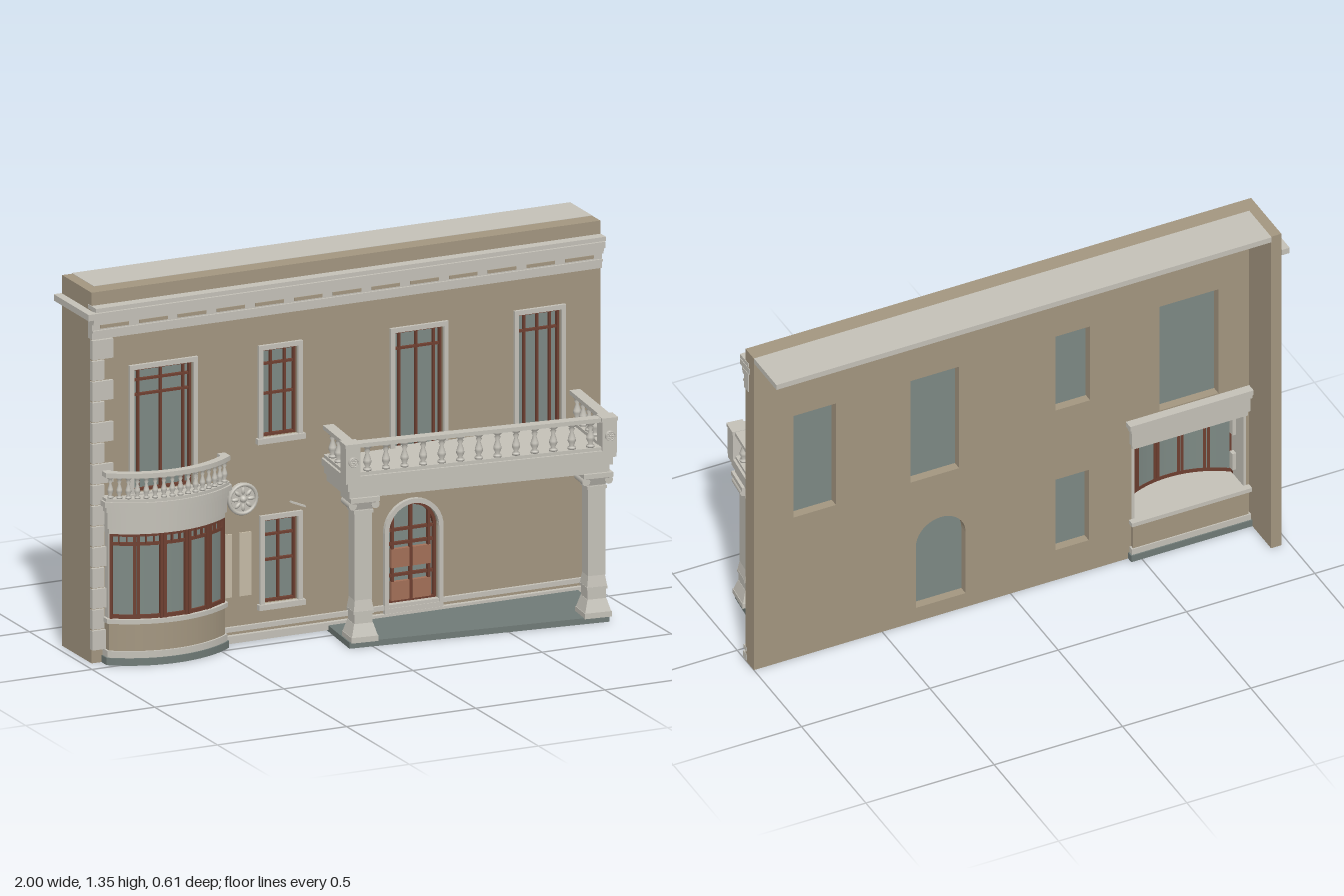
import * as THREE from 'three';

const mat = (name, color, side = THREE.FrontSide) => {
  const m = new THREE.MeshStandardMaterial({ color, side });
  m.name = name;
  return m;
};

export function createModel() {
  const wallM = mat('tan stucco', 0xa39680), trim = mat('grey stone trim', 0xc4c1b8);
  const glass = mat('window glass', 0x7d8984, THREE.DoubleSide), slate = mat('slate floor', 0x707b77);
  const brown = mat('brown joinery', 0x6e3f30), panelM = mat('door panel', 0xa37058);
  const pale = mat('pale stone', 0xc6bba6);
  const root = new THREE.Group();
  root.name = 'houseFacade';
  const group = (name, parent = root) => {
    const g = new THREE.Group();
    g.name = name;
    parent.add(g);
    return g;
  };
  const add = (name, geo, m, parent = root) => {
    const mesh = new THREE.Mesh(geo, m);
    mesh.name = name;
    parent.add(mesh);
    return mesh;
  };
  // Box given by its limits on each axis
  const box = (name, x0, x1, y0, y1, z0, z1, m, parent) => {
    const b = add(name, new THREE.BoxGeometry(x1 - x0, y1 - y0, z1 - z0), m, parent);
    b.position.set((x0 + x1) / 2, (y0 + y1) / 2, (z0 + z1) / 2);
    return b;
  };
  const poly = (pts, C = THREE.Shape) => new C(pts.map(p => new THREE.Vector2(p[0], p[1])));
  const rect = (x0, x1, y0, y1, C) => poly([[x0, y0], [x1, y0], [x1, y1], [x0, y1]], C);
  const upright = (name, shape, z0, z1, m, parent) => {
    const e = add(name, new THREE.ExtrudeGeometry(shape, { depth: z1 - z0, bevelEnabled: false, curveSegments: 16 }), m, parent);
    e.position.z = z0;
    return e;
  };
  // Plan outline of [x, z] points raised from y0 to y1
  const plan = (name, pts, y0, y1, m, parent) => {
    const g = new THREE.ExtrudeGeometry(poly(pts.map(([x, z]) => [x, -z])), { depth: y1 - y0, bevelEnabled: false });
    const e = add(name, g.rotateX(-Math.PI / 2), m, parent);
    e.position.y = y0;
    return e;
  };
  const arch = (cx, r, y0, ys, C) => {
    const pts = [[cx - r, y0], [cx + r, y0]];
    for (let i = 0; i <= 20; i++) pts.push([cx + r * Math.cos(i * Math.PI / 20), ys + r * Math.sin(i * Math.PI / 20)]);
    return poly(pts, C);
  };
  const F = -0.065, B = -0.13;

  // Main wall with through openings, end return and flat roof
  const windows = [
    { n: 'bayBalconyWindow', x0: -0.81, x1: -0.58, y0: 0.6, y1: 1.05, v: [0.12, 0.5, 0.88], h: [0.78, 0.9] },
    { n: 'upperSmallWindow', x0: -0.31, x1: -0.175, y0: 0.735, y1: 1.055, v: [0.3, 0.7], h: [0.48, 0.82] },
    { n: 'upperMiddleWindow', x0: 0.2, x1: 0.39, y0: 0.61, y1: 1.05, v: [0.15, 0.5, 0.85], h: [0.85] },
    { n: 'upperEndWindow', x0: 0.68, x1: 0.845, y0: 0.61, y1: 1.05, v: [0.2, 0.5, 0.8], h: [0.85] },
    { n: 'lowerWindow', x0: -0.305, x1: -0.175, y0: 0.13, y1: 0.435, v: [0.5], h: [0.5, 0.8] },
  ];
  const wall = rect(-0.97, 1, 0, 1.35);
  for (const w of windows) wall.holes.push(rect(w.x0, w.x1, w.y0, w.y1, THREE.Path));
  wall.holes.push(arch(0.272, 0.097, 0.06, 0.325, THREE.Path), rect(-0.918, -0.472, 0.05, 0.57, THREE.Path));
  upright('mainWall', wall, B, F, wallM);
  box('returnWall', -0.97, -0.93, 0, 1.35, -0.3, B, wallM);
  box('roofSlab', -0.93, 1, 1.33, 1.351, -0.305, B, trim);

  // Windows: stone surround, glass and glazing bars
  for (const { n, x0, x1, y0, y1, v, h } of windows) {
    const g = group(n), t = 0.017;
    const s = rect(x0 - t, x1 + t, y0 - t, y1 + t);
    s.holes.push(rect(x0, x1, y0, y1, THREE.Path));
    upright('surround', s, F, -0.053, trim, g);
    box('sill', x0 - 0.025, x1 + 0.025, y0 - 0.02, y0, F, -0.045, trim, g);
    box('glass', x0, x1, y0, y1, -0.096, -0.09, glass, g);
    const f = rect(x0, x1, y0, y1);
    f.holes.push(rect(x0 + 0.009, x1 - 0.009, y0 + 0.009, y1 - 0.009, THREE.Path));
    upright('sash', f, -0.09, -0.075, brown, g);
    for (const k of v) {
      const x = x0 + (x1 - x0) * k;
      box('upBar', x - 0.004, x + 0.004, y0, y1, -0.09, -0.078, brown, g);
    }
    for (const k of h) {
      const y = y0 + (y1 - y0) * k;
      box('crossBar', x0, x1, y - 0.004, y + 0.004, -0.09, -0.077, brown, g);
    }
  }

  // Arched double door
  const door = group('frontDoor');
  const ring = arch(0.272, 0.114, 0.03, 0.325);
  ring.holes.push(arch(0.272, 0.097, 0.05, 0.325, THREE.Path));
  upright('archSurround', ring, F, -0.05, trim, door);
  upright('archGlass', arch(0.272, 0.097, 0.06, 0.325), -0.096, -0.09, glass, door);
  const inner = arch(0.272, 0.097, 0.06, 0.325);
  inner.holes.push(arch(0.272, 0.086, 0.07, 0.325, THREE.Path));
  upright('archFrame', inner, -0.09, -0.075, brown, door);
  for (const x of [0.202, 0.272, 0.342]) box('doorStile', x - 0.005, x + 0.005, 0.06, x === 0.272 ? 0.42 : 0.385, -0.09, -0.076, brown, door);
  for (const y of [0.065, 0.16, 0.275, 0.325]) box('doorRail', 0.18, 0.364, y - 0.005, y + 0.005, -0.09, -0.077, brown, door);
  for (const x of [0.231, 0.313]) for (const y of [0.103, 0.222]) {
    box('doorPanel', x - 0.035, x + 0.035, y - 0.034, y + 0.034, -0.09, -0.074, panelM, door);
  }

  // Cornice bands and frieze slots
  const cornice = group('cornice');
  for (const [y0, y1, z] of [[1.287, 1.302, -0.025], [1.245, 1.257, -0.04], [1.235, 1.245, -0.045],
    [1.205, 1.213, -0.05], [1.18, 1.205, -0.056], [1.213, 1.235, -0.058]]) {
    box('corniceBand', -0.972, 1.002, y0, y1, -0.09, z, trim, cornice);
  }
  box('corniceShelf', -1, 1.002, 1.26, 1.283, -0.1, -0.027, trim, cornice);
  box('corniceReturn', -1, -0.97, 1.26, 1.283, -0.305, -0.1, trim, cornice);
  box('corniceBacking', -0.97, 1, 1.257, 1.29, F, -0.05, trim, cornice);
  for (let i = 0; i < 13; i++) {
    const x = -0.885 + i * 0.15;
    box('friezeSlot', x - 0.055, Math.min(x + 0.055, 1), 1.218, 1.23, F, -0.055, wallM, cornice);
  }

  // Corner quoins and foot mouldings
  const quoins = group('quoins');
  for (let i = 0; i < 15; i++) {
    box('quoin', -0.972, i % 2 ? -0.925 : -0.892, 0.05 + i * 0.0755, 0.12 + i * 0.0755, F - 0.01, -0.053, trim, quoins);
  }
  box('upperSkirt', -0.46, 1.001, 0.045, 0.062, F - 0.01, -0.053, trim).scale.x = 1;
  box('lowerSkirt', -0.46, 1.001, 0.005, 0.032, F - 0.01, -0.048, trim);

  // Rosette medallion and small wall plates
  const rosette = (name, x, y, z, r, parent) => {
    const g = group(name, parent);
    g.position.set(x, y, z);
    add('disc', new THREE.CylinderGeometry(r, r, 0.012, 24).rotateX(Math.PI / 2), trim, g);
    add('rim', new THREE.TorusGeometry(r * 0.9, r * 0.12, 6, 24), trim, g).position.z = 0.006;
    add('hub', new THREE.SphereGeometry(r * 0.22, 10, 8), trim, g).position.z = 0.006;
    for (let i = 0; i < 8; i++) {
      const a = i * Math.PI / 4, p = add('petal', new THREE.SphereGeometry(r * 0.25, 8, 6), trim, g);
      p.scale.set(1, 0.5, 0.5);
      p.rotation.z = a;
      p.position.set(Math.cos(a) * r * 0.52, Math.sin(a) * r * 0.52, 0.006);
    }
    return g;
  };
  rosette('medallion', -0.39, 0.525, -0.057, 0.058, root);
  for (const [a, b] of [[-0.455, -0.43], [-0.4, -0.355]]) box('wallPlate', a, b, 0.17, 0.4, F, -0.058, pale);
  const scrap = box('lintelFragment', -0.205, -0.145, 0.474, 0.48, F, -0.05, trim);
  scrap.rotation.z = -0.4;

  // Turned baluster, unit height
  const balGeo = new THREE.LatheGeometry([[0.0, 0], [0.17, 0], [0.17, 0.08], [0.08, 0.13], [0.17, 0.32], [0.16, 0.42],
    [0.07, 0.68], [0.13, 0.8], [0.08, 0.86], [0.17, 0.92], [0.17, 1]].map(p => new THREE.Vector2(p[0], p[1])), 10);
  const baluster = (x, y, z, h, w, parent) => {
    const b = add('baluster', balGeo, trim, parent);
    b.position.set(x, y, z);
    b.scale.set(w, h, w);
  };

  // Bow-fronted bay: plan is an arc with straight sides running back through the wall
  const bay = group('bayWindow'), CX = -0.695, CZ = -0.33, R = 0.375, H = 0.225;
  const bayPath = (o, back) => {
    const r = R + o, a = Math.asin((H + o) / r), pts = [[CX - H - o, back]];
    for (let i = 0; i <= 32; i++) {
      const t = -a + 2 * a * i / 32;
      pts.push([CX + r * Math.sin(t), CZ + r * Math.cos(t)]);
    }
    pts.push([CX + H + o, back]);
    return pts;
  };
  for (const [n, o, back, y0, y1, m] of [['bayPlinth', 0.012, -0.155, 0, 0.026, slate], ['bayFoot', 0.007, -0.15, 0.026, 0.05, trim],
    ['bayApron', 0, -0.145, 0.05, 0.15, wallM], ['baySill', 0.009, -0.155, 0.15, 0.166, trim],
    ['bayHead', 0, -0.142, 0.475, 0.495, trim], ['bayFrieze', 0.006, -0.148, 0.495, 0.555, trim],
    ['bayCornice', 0.012, -0.155, 0.555, 0.575, trim], ['balconyFloor', 0.021, -0.165, 0.575, 0.595, trim]]) {
    plan(n, bayPath(o, back), y0, y1, m, bay);
  }
  for (const [n, y0, y1, o] of [['bottomRail', 0.595, 0.606, 0.014], ['topRail', 0.683, 0.7, 0.016]]) {
    plan(n, [...bayPath(o, -0.067), ...bayPath(o - 0.03, -0.067).reverse()], y0, y1, trim, bay);
  }
  for (let i = 0; i <= 15; i++) {
    const t = -0.63 + 1.26 * i / 15;
    baluster(CX + R * Math.sin(t), 0.606, CZ + R * Math.cos(t), 0.077, 0.062, bay);
  }
  const ba = Math.asin(H / R), rg = R - 0.012;
  add('bayGlass', new THREE.CylinderGeometry(rg, rg, 0.31, 32, 1, true, -ba, 2 * ba), glass, bay).position.set(CX, 0.32, CZ);
  for (const s of [-1, 1]) box('bayCheek', CX + s * 0.218 - 0.006, CX + s * 0.218 + 0.006, 0.166, 0.475, -0.13, -0.035, trim, bay);
  for (const [y0, y1] of [[0.166, 0.18], [0.432, 0.443], [0.465, 0.476]]) {
    plan('bayCrossBar', [...bayPath(-0.004, -0.05), ...bayPath(-0.014, -0.05).reverse()], y0, y1, brown, bay);
  }
  const upBar = (t, w, y0, y1) => {
    const b = add('bayUpBar', new THREE.BoxGeometry(w, y1 - y0, 0.014), brown, bay);
    b.position.set(CX + (R - 0.007) * Math.sin(t), (y0 + y1) / 2, CZ + (R - 0.007) * Math.cos(t));
    b.rotation.y = t;
  };
  for (let i = 0; i < 5; i++) {
    const w = 2 * ba / 5, t0 = -ba + i * w;
    for (const k of [0.07, 0.93]) upBar(t0 + w * k, 0.011, 0.166, 0.475);
    for (const k of [0.35, 0.65]) upBar(t0 + w * k, 0.005, 0.44, 0.475);
  }

  // Porch, turned a little from the wall; local x runs along its front, local z is 0 at the front edge
  const TH = 0.109, porch = group('porch');
  porch.position.set(-0.11, 0, 0.19);
  porch.rotation.y = -TH;
  const L = 1.005, back = x => -(0.27 + 0.11 * x);
  const deck = (n, i, y0, y1, m, x0 = i, x1 = L - i) =>
    plan(n, [[x0, back(x0)], [x0, -i], [x1, -i], [x1, back(x1)]], y0, y1, m, porch);
  deck('porchFloor', 0.022, 0, 0.022, slate);
  deck('architrave', 0.022, 0.545, 0.575, trim);
  deck('entablature', 0.012, 0.575, 0.605, trim);
  deck('balconyDeck', 0.002, 0.605, 0.63, trim);

  // Two square columns with stepped bases and scrolled capitals
  const prism = (n, w0, w1, y0, y1, g) => {
    const c = add(n, new THREE.CylinderGeometry(w1 * Math.SQRT1_2, w0 * Math.SQRT1_2, y1 - y0, 4, 1).rotateY(Math.PI / 4).toNonIndexed(), trim, g);
    c.geometry.computeVertexNormals();
    c.position.y = (y0 + y1) / 2;
  };
  for (const x of [0.077, L - 0.065]) {
    const g = group('column', porch);
    g.position.set(x, 0, -0.065);
    for (const [n, a, b, y0, y1] of [['foot', 0.1, 0.1, 0.02, 0.04], ['base', 0.096, 0.07, 0.04, 0.085], ['pedestal', 0.068, 0.068, 0.085, 0.12],
      ['pedestalCap', 0.076, 0.076, 0.12, 0.13], ['flare', 0.074, 0.062, 0.13, 0.17], ['shaft', 0.064, 0.064, 0.17, 0.5],
      ['neck', 0.072, 0.072, 0.485, 0.497], ['capital', 0.066, 0.09, 0.5, 0.53], ['abacus', 0.108, 0.108, 0.53, 0.547]]) prism(n, a, b, y0, y1, g);
    for (const s of [-1, 1]) {
      const v = add('scroll', new THREE.CylinderGeometry(0.015, 0.015, 0.085, 12).rotateX(Math.PI / 2), trim, g);
      v.position.set(s * 0.042, 0.517, 0);
    }
  }

  // Balcony balustrade with corner posts
  for (const x of [0.028, L - 0.028]) {
    box('cornerPost', x - 0.027, x + 0.027, 0.62, 0.745, -0.055, -0.001, trim, porch);
    box('postCap', x - 0.03, x + 0.03, 0.737, 0.75, -0.058, 0.003, trim, porch);
    rosette('postRosette', x, 0.685, 0.001, 0.018, porch);
  }
  for (const [n, y0, y1, w] of [['lowRail', 0.63, 0.642, 0.017], ['handRail', 0.733, 0.748, 0.02]]) {
    box(n, 0.03, L - 0.03, y0, y1, -0.028 - w, -0.028 + w, trim, porch);
    for (const x of [0.028, L - 0.028]) box(n + 'Side', x - w, x + w, y0, y1, back(x), -0.03, trim, porch);
  }
  for (let i = 0; i < 13; i++) baluster(0.09 + i * (L - 0.18) / 12, 0.642, -0.028, 0.091, 0.085, porch);
  for (const [x, n] of [[0.028, 3], [L - 0.028, 5]]) {
    for (let i = 0; i < n; i++) baluster(x, 0.642, -0.09 - i * 0.062, 0.091, 0.085, porch);
  }
  return root;
}
